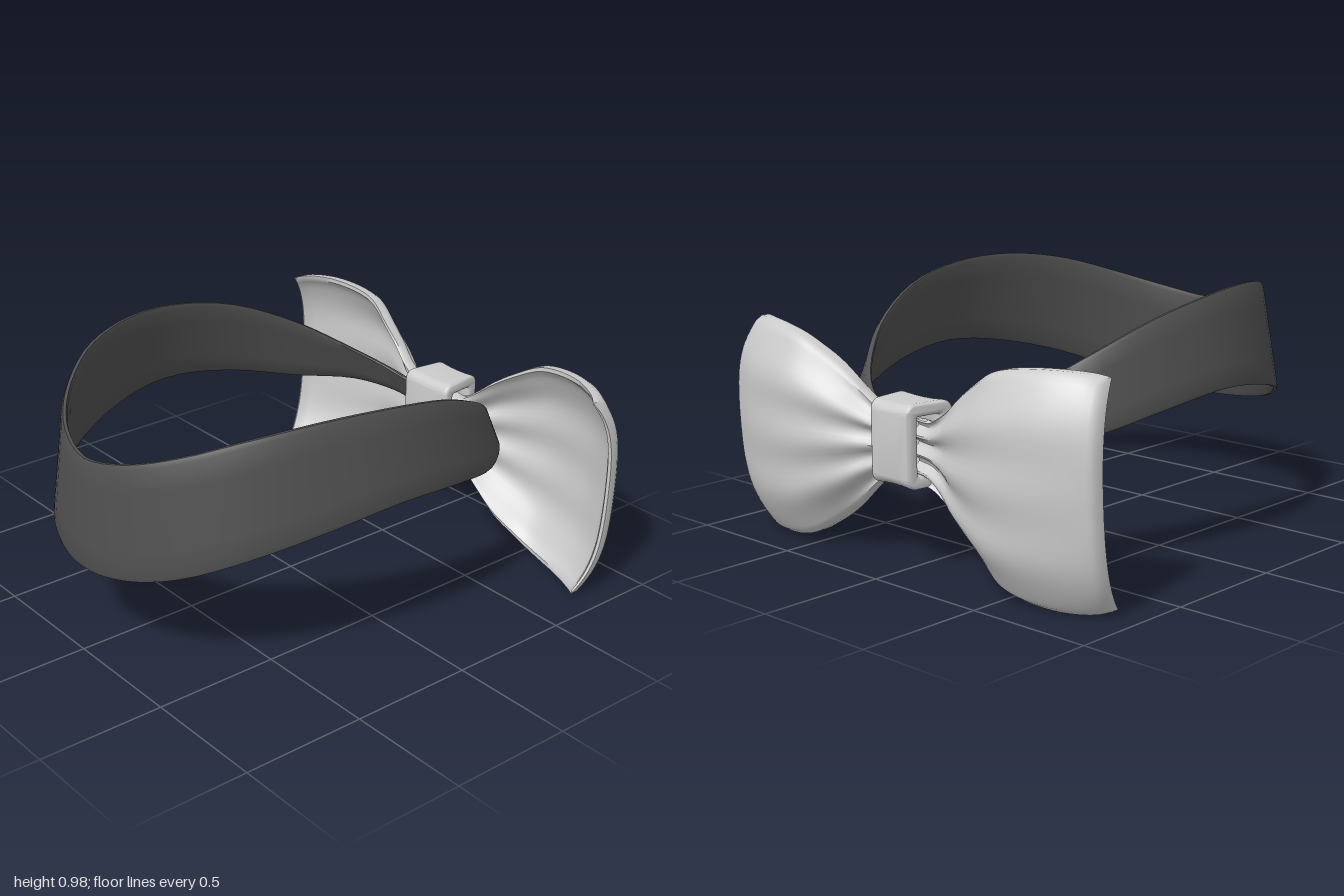
import * as THREE from 'three';
import { toCreasedNormals } from 'three/addons/utils/BufferGeometryUtils.js';

// Skin a list of equal-length rings and close both ends
function loft(rings, flip = false) {
  const n = rings[0].length, last = (rings.length - 1) * n, idx = [];
  const quad = (a, b, c, d) => flip ? idx.push(a, c, b, a, d, c) : idx.push(a, b, c, a, c, d);
  for (let j = 0; j < rings.length - 1; j++)
    for (let i = 0; i < n; i++) {
      const k = (i + 1) % n, p = j * n, q = p + n;
      quad(p + i, p + k, q + k, q + i);
    }
  for (let i = 0; i < n / 2 - 1; i++) {
    quad(n - 1 - i, n - 2 - i, i + 1, i);
    quad(last + i, last + i + 1, last + n - 2 - i, last + n - 1 - i);
  }
  const g = new THREE.BufferGeometry();
  g.setAttribute('position', new THREE.Float32BufferAttribute(rings.flat(2), 3));
  g.setIndex(idx);
  return toCreasedNormals(g, 0.8);
}

// Neck band: egg-shaped path whose height and lean change along the way
function collarGeometry() {
  // half path from the front: x, z, bottom y, top y
  const half = [
    [0, 0.975, 0.37, 0.80], [0.2, 0.935, 0.39, 0.83], [0.38, 0.825, 0.44, 0.885],
    [0.55, 0.63, 0.53, 0.955], [0.655, 0.38, 0.60, 0.99], [0.697, 0.1, 0.635, 0.98],
    [0.665, -0.2, 0.60, 0.92], [0.56, -0.48, 0.535, 0.80], [0.41, -0.67, 0.52, 0.68],
    [0.27, -0.765, 0.49, 0.61], [0.15, -0.785, 0.47, 0.58],
  ];
  const all = [...half].reverse().concat(half.slice(1).map(([x, ...r]) => [-x, ...r]));
  const low = new THREE.CatmullRomCurve3(all.map(([x, z, b]) => new THREE.Vector3(x, b, z)));
  const high = new THREE.CatmullRomCurve3(all.map(([x, z, , t]) => new THREE.Vector3(x, t, z)));
  const heights = [0, 0.04, 0.25, 0.5, 0.75, 0.96, 1];
  const rings = [], steps = 80;
  for (let j = 0; j <= steps; j++) {
    const t = j / steps, a = low.getPoint(t), b = high.getPoint(t);
    const d = low.getPoint(Math.min(1, t + 0.005)).sub(low.getPoint(Math.max(0, t - 0.005)));
    const len = Math.hypot(d.x, d.z), nx = d.z / len, nz = -d.x / len;
    const lean = 0.015 + 0.02 * Math.min(1, Math.abs(a.x) / 0.5);
    const point = (h, side) => {
      const thick = (h === 0 || h === 1) ? 0.006 : 0.012;
      const o = lean * (1 - 2 * h) + side * thick;
      return [a.x + nx * o + 0.02, a.y + (b.y - a.y) * h, a.z + nz * o];
    };
    rings.push([...heights.map(h => point(h, 1)), ...[...heights].reverse().map(h => point(h, -1))]);
  }
  return loft(rings);
}

// One bow wing: a curved shell with pleats fading away from the knot
function wingGeometry(side) {
  // x, half height, back z
  const spine = new THREE.CatmullRomCurve3([
    [0.05, 0.12, -0.86], [0.12, 0.125, -0.86], [0.2, 0.175, -0.885], [0.3, 0.26, -0.935],
    [0.4, 0.33, -0.97], [0.5, 0.385, -0.99], [0.6, 0.41, -0.985], [0.75, 0.423, -0.955],
    [0.87, 0.418, -0.905], [0.93, 0.405, -0.87],
  ].map(p => new THREE.Vector3(...p)));
  const vs = [];
  for (let i = -16; i <= 16; i++) vs.push(Math.sin(i / 16 * Math.PI / 2) * 0.4 + i / 16 * 0.6);
  const rings = [], steps = 44;
  for (let j = 0; j <= steps; j++) {
    const u = j / steps, s = spine.getPoint(u);
    const grow = THREE.MathUtils.smoothstep(u, 0.05, 0.45);
    const fold = 0.024 * (1 - u) ** 1.3;
    const cy = 0.43 + 0.03 * (1 - u) ** 2;
    const point = (v, front) => {
      const e = Math.abs(v);
      const bend = grow * (0.03 * v * v + 0.075 * v ** 4 - 0.02 * v);
      const pleat = -fold * (Math.cos(v * 11.4) - 1) * 0.8;
      const rim = Math.max(THREE.MathUtils.smoothstep(e, 0.9, 0.95), THREE.MathUtils.smoothstep(u, 0.93, 0.97));
      const edge = (e > 0.995 || j === steps) ? 0.012 : 0;
      const z = s.z + bend + pleat + (front ? 0.045 + 0.012 * rim * grow - edge : edge);
      return [side * (s.x - 0.04 * v ** 4 * u ** 4), cy + v * s.y, z];
    };
    rings.push([...vs.map(v => point(v, false)), ...[...vs].reverse().map(v => point(v, true))]);
  }
  return loft(rings, side < 0);
}

// Rounded rectangle outline centred on the origin
function roundRect(target, w, h, r) {
  const corners = [[1, 1, 0], [-1, 1, 1], [-1, -1, 2], [1, -1, 3]];
  corners.forEach(([sx, sy, q]) =>
    target.absarc(sx * (w / 2 - r), sy * (h / 2 - r), r, q * Math.PI / 2, (q + 1) * Math.PI / 2, false));
  target.closePath();
  return target;
}

// Knot: a fabric loop around the middle, a little wider at the neck side
function knotGeometry() {
  const shape = roundRect(new THREE.Shape(), 0.18, 0.29, 0.03);
  shape.holes.push(roundRect(new THREE.Path(), 0.13, 0.24, 0.02));
  const g = new THREE.ExtrudeGeometry(shape, {
    depth: 0.19, steps: 4, curveSegments: 5,
    bevelThickness: 0.015, bevelSize: 0.012, bevelSegments: 3,
  });
  g.translate(0, 0, -0.095);
  g.rotateY(Math.PI / 2);
  const p = g.attributes.position;
  for (let i = 0; i < p.count; i++) {
    const x = p.getX(i), z = p.getZ(i);
    p.setX(i, x * (1.02 + z * 1.3));
    p.setY(i, p.getY(i) * (0.96 + 4 * x * x));
  }
  g.translate(0, 0.49, -0.822);
  g.deleteAttribute('normal');
  g.deleteAttribute('uv');
  return toCreasedNormals(g, 0.8);
}

export function createModel() {
  const model = new THREE.Group();
  const grey = new THREE.MeshStandardMaterial({ color: 0xcccccc });
  const dark = new THREE.MeshStandardMaterial({ color: 0x505050 });
  const add = (name, geometry, material) => {
    const mesh = new THREE.Mesh(geometry, material);
    mesh.name = name;
    model.add(mesh);
  };
  add('collar', collarGeometry(), dark);
  add('leftWing', wingGeometry(1), grey);
  add('rightWing', wingGeometry(-1), grey);
  add('knot', knotGeometry(), grey);
  return model;
}
